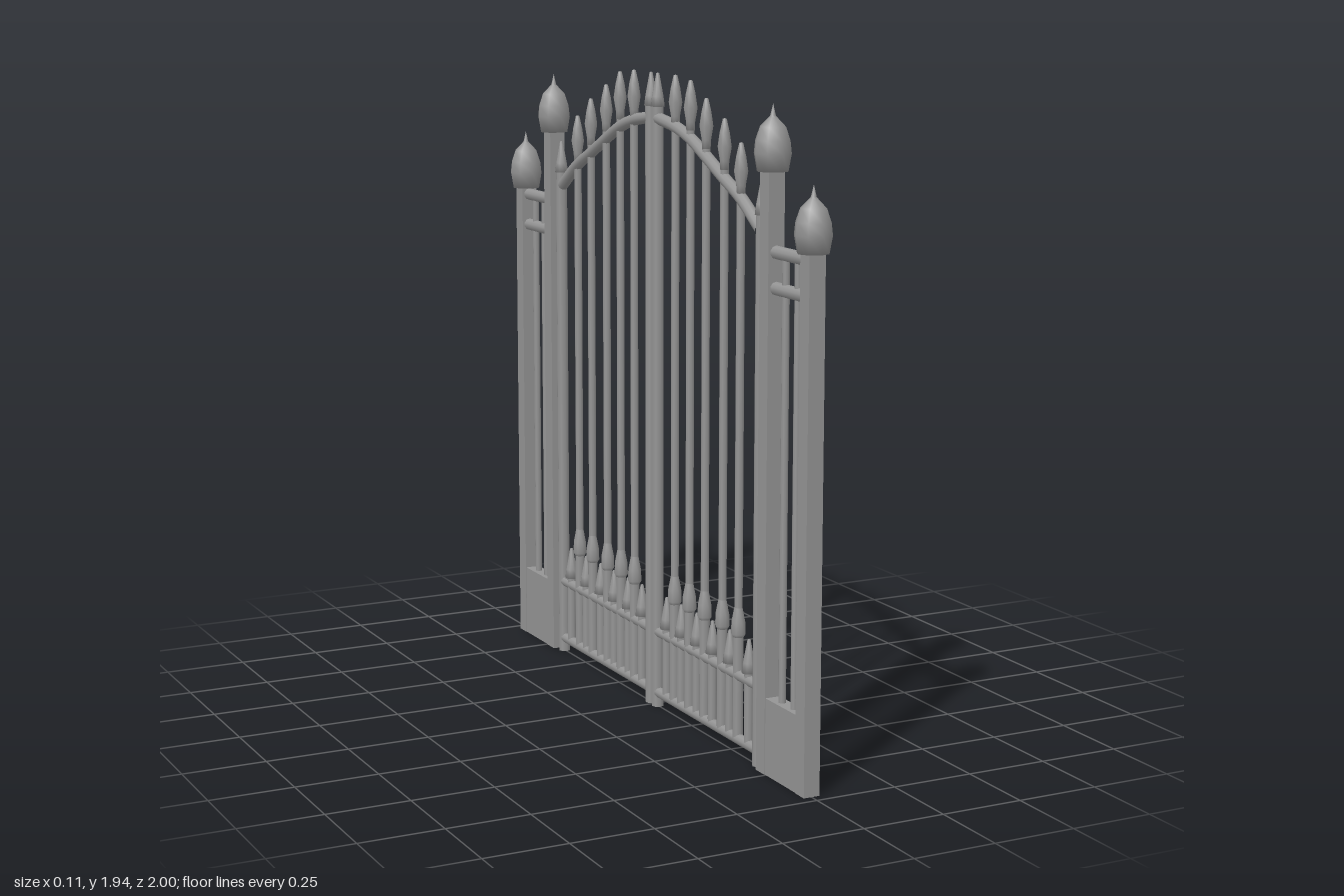
import * as THREE from 'three';

const iron = new THREE.MeshStandardMaterial({ color: 0x949494 });
iron.name = 'grey iron';

function add(parent, name, geometry, y, z) {
  const mesh = new THREE.Mesh(geometry, iron);
  mesh.name = name;
  mesh.position.set(0, y, z);
  parent.add(mesh);
  return mesh;
}

// Square upright or panel between two heights
function block(parent, name, width, depth, y0, y1, z) {
  return add(parent, name, new THREE.BoxGeometry(width, y1 - y0, depth), (y0 + y1) / 2, z);
}

// Round upright bar between two heights
function bar(parent, name, radius, y0, y1, z) {
  return add(parent, name, new THREE.CylinderGeometry(radius, radius, y1 - y0, 8), (y0 + y1) / 2, z);
}

// Round horizontal rail running along z
function rail(parent, name, radius, z0, z1, y) {
  const mesh = add(parent, name, new THREE.CylinderGeometry(radius, radius, z1 - z0, 10), y, (z0 + z1) / 2);
  mesh.rotation.x = Math.PI / 2;
  return mesh;
}

// Turned ornament from [radius, height] pairs
function turned(parent, name, profile, y, z) {
  const points = profile.map(([r, h]) => new THREE.Vector2(r, h));
  return add(parent, name, new THREE.LatheGeometry(points, 8), y, z);
}

const bulb = [[0, 0], [0.045, 0], [0.054, 0.05], [0.05, 0.085], [0.037, 0.122], [0.014, 0.145], [0.008, 0.152], [0, 0.185]];
const spear = [[0, 0], [0.013, 0], [0.014, 0.025], [0.021, 0.065], [0.015, 0.105], [0.006, 0.143], [0, 0.145]];
const tip = [[0, 0], [0.022, 0], [0.018, 0.03], [0.005, 0.098], [0, 0.1]];
const sleeveTip = [[0.016, -0.01], [0.022, 0], [0.021, 0.035], [0.012, 0.08]];

// Fixed fence panel beside the gate
function createSidePanel() {
  const g = new THREE.Group();
  g.name = 'sidePanel';
  for (const [z, top] of [[0.945, 1.51], [0.72, 1.71]]) {
    block(g, 'post', 0.05, 0.05, 0, top, z);
    turned(g, 'postFinial', bulb, top, z);
  }
  block(g, 'kickPanel', 0.046, 0.18, 0, 0.225, 0.832);
  for (const y of [1.39, 1.49]) rail(g, 'sideRail', 0.019, 0.735, 0.93, y);
  for (const z of [0.8, 0.868]) bar(g, 'sideBar', 0.011, 0.22, 1.49, z);
  return g;
}

// One swinging leaf of the gate
function createLeaf() {
  const g = new THREE.Group();
  g.name = 'gateLeaf';

  // Stiles with pointed caps
  for (const [z, top] of [[0.664, 1.585], [0.022, 1.84]]) {
    bar(g, 'stile', 0.0185, 0, top, z);
    turned(g, 'stileSpear', tip, top, z);
  }

  // Arched top rail
  const arch = new THREE.CatmullRomCurve3([
    [1.545, 0.655], [1.62, 0.54], [1.665, 0.442], [1.718, 0.331],
    [1.762, 0.233], [1.789, 0.137], [1.806, 0.022],
  ].map(([y, z]) => new THREE.Vector3(0, y, z)));
  add(g, 'archRail', new THREE.TubeGeometry(arch, 24, 0.018, 10), 0, 0);

  // Straight lower rails
  for (const y of [0.045, 0.237]) rail(g, 'lowerRail', 0.016, 0.03, 0.655, y);

  // Tall bars with sleeves at the foot and spears above the arch
  for (const [z, top] of [[0.54, 1.775], [0.442, 1.835], [0.331, 1.885], [0.233, 1.93], [0.137, 1.94]]) {
    bar(g, 'tallBar', 0.0125, 0.05, top - 0.14, z);
    turned(g, 'barSpear', spear, top - 0.145, z);
    bar(g, 'barSleeve', 0.016, 0.045, 0.36, z);
    turned(g, 'sleeveTip', sleeveTip, 0.36, z);
  }

  // Short pickets between the tall bars
  for (const z of [0.605, 0.49, 0.382, 0.283, 0.182, 0.085]) {
    bar(g, 'picket', 0.014, 0.045, 0.262, z);
    turned(g, 'picketSpear', tip, 0.26, z);
  }
  return g;
}

export function createModel() {
  const model = new THREE.Group();
  model.name = 'gate';
  for (const side of [0, 1]) {
    const half = new THREE.Group();
    half.name = side ? 'rightHalf' : 'leftHalf';
    half.add(createSidePanel(), createLeaf());
    half.rotation.y = side * Math.PI;
    model.add(half);
  }
  return model;
}
